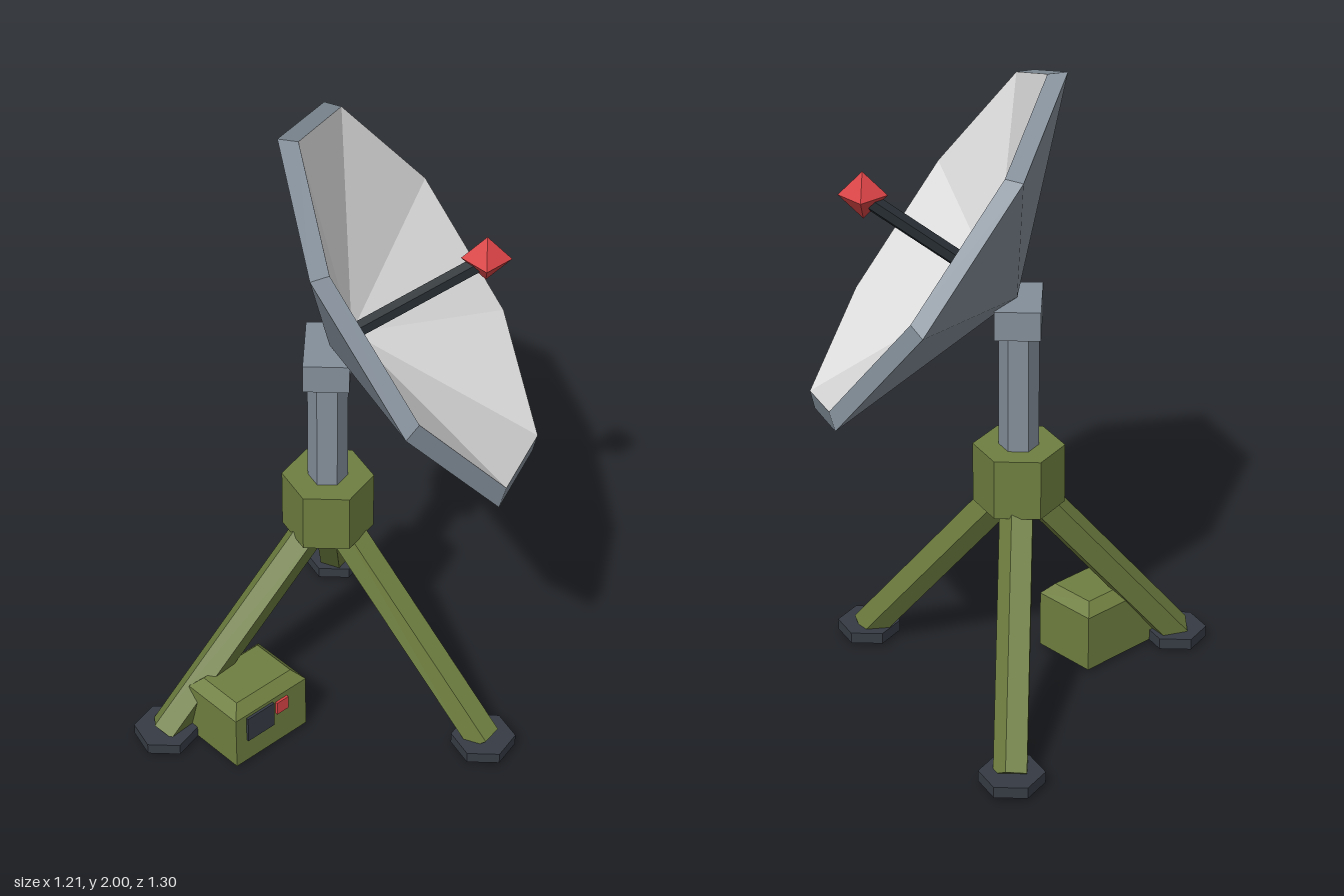
import * as THREE from 'three';

const paint = (name, color) => {
  const m = new THREE.MeshStandardMaterial({ color, flatShading: true });
  m.name = name;
  return m;
};

export function createModel() {
  const olive = paint('olive', 0x6f7f40);
  const steel = paint('steel', 0x848f9a);
  const white = paint('pale grey', 0xe2e2e2);
  const rubber = paint('rubber', 0x363b44);
  const black = paint('black', 0x252c31);
  const red = paint('red', 0xda4345);

  const model = new THREE.Group();
  model.name = 'satelliteDish';
  const add = (parent, name, geometry, material, x = 0, y = 0, z = 0) => {
    const mesh = new THREE.Mesh(geometry, material);
    mesh.name = name;
    mesh.position.set(x, y, z);
    parent.add(mesh);
    return mesh;
  };
  // prism with one corner on +x
  const prism = (r, h, sides) => new THREE.CylinderGeometry(r, r, h, sides, 1, false, Math.PI / 2);

  // Stand: hub, mast and mounting block
  const cx = -0.017;
  add(model, 'hub', prism(0.138, 0.19, 6), olive, cx, 0.737, 0);
  add(model, 'mast', prism(0.06, 0.4, 6), steel, cx, 1.025, 0);
  add(model, 'mountBlock', new THREE.BoxGeometry(0.135, 0.09, 0.22), steel, cx, 1.265, 0);

  // Three five-sided legs with hexagonal feet
  const up = new THREE.Vector3(0, 1, 0);
  ['leftLeg', 'rightLeg', 'backLeg'].forEach((name, i) => {
    const a = Math.PI / 6 + (i * Math.PI * 2) / 3;
    const at = (r, y) => new THREE.Vector3(cx + r * Math.cos(a), y, r * Math.sin(a));
    const top = at(0.04, 0.67), bottom = at(0.562, 0.036);
    const leg = add(model, name, prism(0.0555, top.distanceTo(bottom), 5), olive);
    leg.position.copy(top).lerp(bottom, 0.5);
    leg.quaternion.setFromUnitVectors(up, top.clone().sub(bottom).normalize());
    const foot = at(0.564, 0.03);
    add(model, name + 'Foot', prism(0.099, 0.036, 6), rubber, foot.x, foot.y, foot.z);
  });

  // Eight-sided dish, its axis tilted towards +x
  const dish = new THREE.Group();
  dish.name = 'dish';
  dish.position.set(0.2175, 1.47, 0);
  dish.rotation.z = -THREE.MathUtils.degToRad(55);
  model.add(dish);
  const ring = (...p) => new THREE.LatheGeometry(p.map(([r, y]) => new THREE.Vector2(r, y)), 8);
  add(dish, 'dishBack', ring([0, -0.28], [0.647, 0]), steel);
  add(dish, 'dishRim', ring([0.647, 0], [0.608, 0.043]), steel);
  add(dish, 'dishBowl', ring([0.608, 0.043], [0, -0.202]), white);
  add(dish, 'feedRod', prism(0.026, 0.46, 6), black, 0, 0.025, 0);
  add(model, 'feedHorn', new THREE.OctahedronGeometry(0.072), red, 0.43, 1.622, 0);

  // Power unit with a bevelled lid, turned 45 degrees
  const unit = new THREE.Group();
  unit.name = 'powerUnit';
  unit.position.set(-0.255, 0, 0.237);
  unit.rotation.y = Math.PI / 4;
  model.add(unit);
  const w = 0.284, d = 0.218, inset = 0.033;
  const body = new THREE.BoxGeometry(w, 0.22, d, 1, 2, 1);
  const p = body.attributes.position;
  for (let i = 0; i < p.count; i++) {
    const y = p.getY(i);
    if (Math.abs(y) < 0.01) p.setY(i, 0.075);
    else if (y > 0) {
      p.setX(i, Math.sign(p.getX(i)) * (w / 2 - inset));
      p.setZ(i, Math.sign(p.getZ(i)) * (d / 2 - inset));
    }
  }
  body.computeVertexNormals();
  add(unit, 'powerUnitBody', body, olive, 0, 0.123, 0);
  add(unit, 'ventPanel', new THREE.BoxGeometry(0.106, 0.09, 0.008), rubber, -0.047, 0.142, d / 2 + 0.004);
  add(unit, 'switchPanel', new THREE.BoxGeometry(0.046, 0.046, 0.008), red, 0.041, 0.155, d / 2 + 0.004);

  return model;
}
